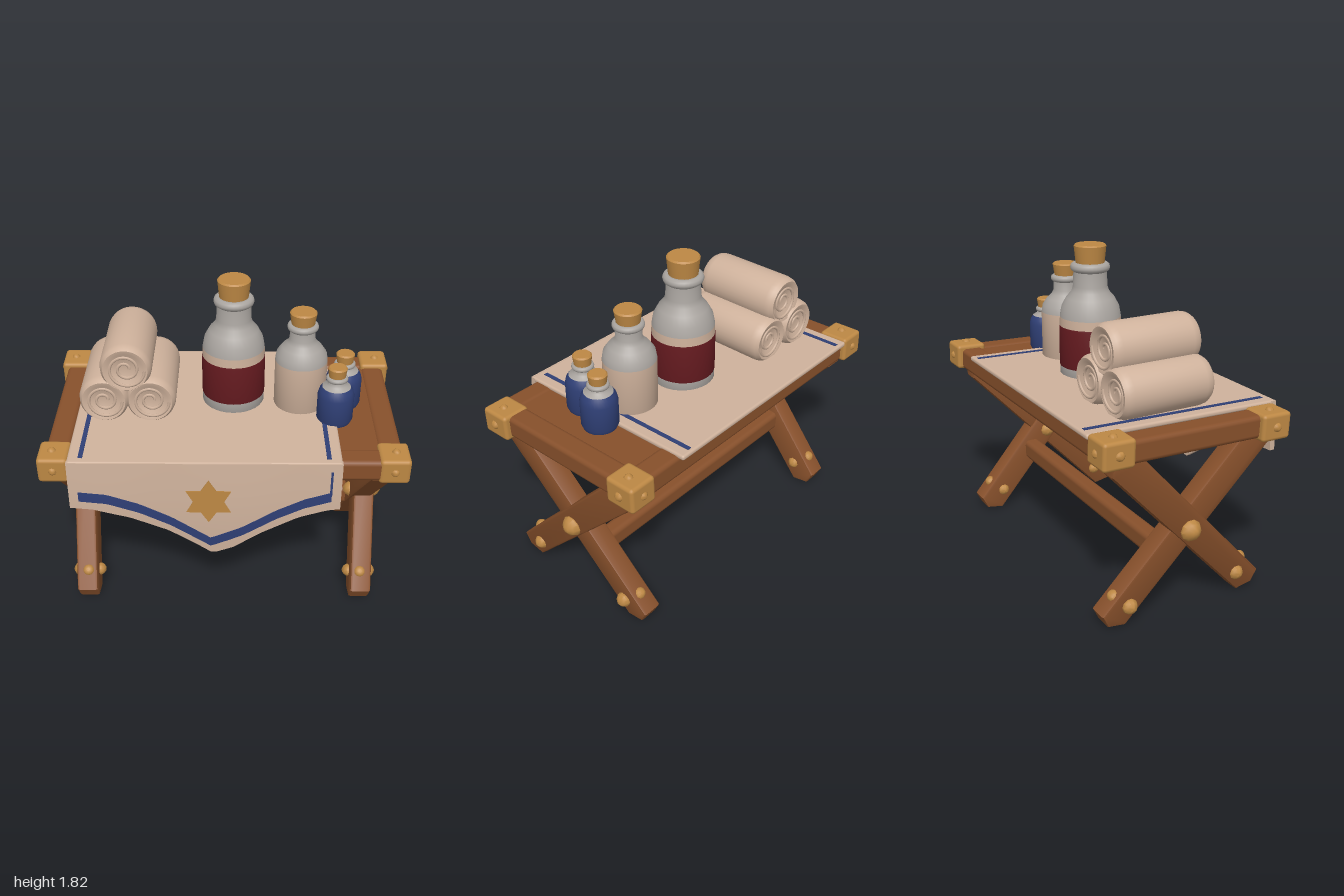
import * as THREE from 'three';
import { toCreasedNormals } from 'three/addons/utils/BufferGeometryUtils.js';
import { RoundedBoxGeometry } from 'three/addons/geometries/RoundedBoxGeometry.js';

const paint = (name, color) => {
  const m = new THREE.MeshStandardMaterial({ color });
  m.name = name;
  return m;
};
const wood = paint('wood', 0x87502b);
const gold = paint('gold', 0xbd8844);
const linen = paint('linen', 0xcfb29c);
const glass = paint('glass', 0xaaa5a0);
const red = paint('red', 0x641a1f);
const blue = paint('blue', 0x2f3f75);

function add(parent, name, geometry, material, x = 0, y = 0, z = 0) {
  const mesh = new THREE.Mesh(geometry, material);
  mesh.name = name;
  mesh.position.set(x, y, z);
  parent.add(mesh);
  return mesh;
}
const block = (w, h, d, r = 0.015) => new RoundedBoxGeometry(w, h, d, 2, r);
const lathe = (points, sides = 32) =>
  toCreasedNormals(new THREE.LatheGeometry(points.map(p => new THREE.Vector2(...p)), sides), 0.7);

// Domed nail head facing along a direction
function stud(parent, name, x, y, z, dir, r) {
  const g = lathe([[r, -0.02], [r, r * 0.3], [r * 0.75, r * 0.7], [r * 0.3, r], [0, r * 1.05]], 10);
  const m = add(parent, name, g, gold, x, y, z);
  m.quaternion.setFromUnitVectors(new THREE.Vector3(0, 1, 0), new THREE.Vector3(...dir).normalize());
}

// Bottle made of stacked coloured bands, a lip ring and a cork
function bottle(parent, name, x, z, bands, ring, cork) {
  const g = new THREE.Group();
  g.name = name;
  g.position.set(x, 0, z);
  parent.add(g);
  bands.forEach(([label, material, points]) => add(g, label, lathe(points), material));
  const [ry, rr, rt] = ring;
  add(g, 'lip', new THREE.TorusGeometry(rr, rt, 10, 32).rotateX(Math.PI / 2), glass, 0, ry, 0);
  const [y0, y1, r0, r1] = cork;
  add(g, 'cork', lathe([[0, y0], [r0, y0], [r1, y1 - 0.008], [r1 - 0.008, y1], [0, y1]], 24), gold);
}

// Leg profile in the side plane, extruded and leaning outward as it rises
function leg(parent, side, dir) {
  const pts = [[0.48, 0.09], [0.45, 0.03], [0.36, 0.015], [-0.47, 0.9], [-0.47, 0.96], [-0.32, 0.96]];
  const shape = new THREE.Shape(pts.map(([z, y]) => new THREE.Vector2(z * dir, y)));
  const t = 0.09, b = 0.015;
  const g = new THREE.ExtrudeGeometry(shape,
    { depth: t, bevelSize: b, bevelThickness: b, bevelSegments: 2, bevelOffset: -0.004 });
  g.translate(0, 0, -t / 2).rotateY(-Math.PI / 2);
  const p = g.attributes.position;
  for (let i = 0; i < p.count; i++) {
    p.setX(i, p.getX(i) + side * (0.785 + 0.075 * p.getY(i) + dir * 0.006));
  }
  add(parent, dir > 0 ? 'legFrontFoot' : 'legBackFoot', toCreasedNormals(g, 0.6), wood);
  const x = 0.785 + 0.01;
  stud(parent, 'footStudOuter', side * (x + 0.055), 0.12, dir * 0.34, [side, 0, 0], 0.042);
  stud(parent, 'footStudInner', side * (x - 0.055), 0.12, dir * 0.34, [-side, 0, 0], 0.036);
  stud(parent, 'footStudFace', side * x, 0.17, dir * 0.405, [0, 0.7, dir * 0.7], 0.033);
}

// Hanging cloth: a thin box remapped between an upper and a lower edge curve
const ripple = (x, y) => 0.56 + 0.006 * Math.sin(x * 9 + 1) * (1.07 - y) + 0.012 * Math.sin((1.07 - y) * 5);
function hanging(x0, x1, top, bottom, thick, offset) {
  const g = new THREE.BoxGeometry(1, 1, 1, 48, 10, 1);
  const p = g.attributes.position;
  for (let i = 0; i < p.count; i++) {
    const x = THREE.MathUtils.lerp(x0, x1, p.getX(i) + 0.5);
    const y = THREE.MathUtils.lerp(bottom(x), top(x), p.getY(i) + 0.5);
    p.setXYZ(i, x, y, ripple(x, y) + offset + p.getZ(i) * thick);
  }
  g.computeVertexNormals();
  return g;
}
const edge = points => x => {
  let i = 0;
  while (i < points.length - 2 && x > points[i + 1][0]) i++;
  const [a, b] = [points[i], points[i + 1]];
  return a[1] + (b[1] - a[1]) * (x - a[0]) / (b[0] - a[0]);
};

// Rolled towel with dished, spiralled ends
function towel(parent, x, y, r, len, z) {
  const g = new THREE.Group();
  g.name = 'rolledTowel';
  g.position.set(x, y, z);
  parent.add(g);
  const h = len / 2;
  const end = [[r, h - 0.05], [r * 0.96, h - 0.02], [r * 0.86, h], [r * 0.7, h - 0.005], [r * 0.5, h - 0.02], [0, h - 0.025]];
  const profile = [...end.map(([a, b]) => [a, -b]).reverse(), ...end];
  add(g, 'towelRoll', lathe(profile).rotateX(Math.PI / 2), linen);
  for (const s of [1, -1]) {
    const pts = [];
    for (let i = 0; i <= 40; i++) {
      const k = i / 40, a = k * Math.PI * 4, q = r * (0.15 + 0.6 * k);
      pts.push(new THREE.Vector3(Math.cos(a) * q, Math.sin(a) * q, s * (h - 0.024 + 0.02 * k * k)));
    }
    add(g, 'towelSpiral', new THREE.TubeGeometry(new THREE.CatmullRomCurve3(pts), 80, 0.009, 6), linen);
  }
}

export function createModel() {
  const model = new THREE.Group();
  model.name = 'campTable';

  // Table top, tipped very slightly toward the front
  const top = new THREE.Group();
  top.name = 'tableTop';
  top.position.y = 1.01;
  top.rotation.x = 0.03;
  model.add(top);
  for (const s of [1, -1]) {
    add(top, s > 0 ? 'frontRail' : 'backRail', block(1.8, 0.125, 0.13, 0.025), wood, 0, 0, s * 0.475);
    add(top, 'sideRail', block(0.13, 0.125, 0.95, 0.025), wood, s * 0.885, 0, 0);
    for (const [z, y] of [[0.455, -0.002], [-0.48, 0.012]]) {
      add(top, 'cornerCap', block(0.165, 0.148, 0.18, 0.02), gold, s * 0.9, y, z);
      stud(top, 'capStudSide', s * 0.972, y, z, [s, 0, 0], 0.027);
      stud(top, 'capStudTop', s * 0.91, y + 0.066, z, [0, 1, 0], 0.024);
      stud(top, 'capStudEnd', s * 0.9, y, z + Math.sign(z) * 0.08, [0, 0, Math.sign(z)], 0.024);
    }
  }
  add(top, 'endPlank', block(0.32, 0.1, 0.92), wood, 0.74, 0.003, 0);
  add(top, 'clothPanel', block(1.43, 0.12, 0.84), linen, -0.1, -0.01, 0);
  add(top, 'tableCloth', block(1.44, 0.03, 1.14, 0.013), linen, -0.1, 0.063, 0);
  for (const x of [-0.75, 0.55]) {
    add(top, 'clothStripe', new THREE.BoxGeometry(0.024, 0.006, 1.08), blue, x, 0.078, -0.01);
  }

  // Underside trim
  for (const z of [-0.375, 0.375]) {
    add(top, 'underStripe', new THREE.BoxGeometry(1.36, 0.006, 0.04), blue, -0.1, -0.071, z);
  }
  add(top, 'underStripeEnd', new THREE.BoxGeometry(0.04, 0.006, 0.75), blue, -0.76, -0.071, 0);
  add(top, 'underPatch', new THREE.BoxGeometry(0.8, 0.006, 0.09), gold, -0.15, -0.071, -0.1);

  // Front drape with its border and emblem
  const hem = edge([[-0.82, 0.785], [-0.7, 0.775], [-0.5, 0.72], [-0.3, 0.63], [-0.15, 0.53], [-0.06, 0.465],
    [0.05, 0.51], [0.2, 0.615], [0.4, 0.725], [0.55, 0.775], [0.62, 0.785]]);
  const border = edge([[-0.77, 0.83], [-0.62, 0.815], [-0.45, 0.755], [-0.28, 0.665], [-0.07, 0.52],
    [0.1, 0.6], [0.28, 0.715], [0.43, 0.79], [0.57, 0.835]]);
  add(model, 'drape', hanging(-0.82, 0.62, () => 1.068, hem, 0.03, 0), linen);
  add(model, 'drapeBorder', hanging(-0.77, 0.57, x => border(x) + 0.058, border, 0.008, 0.014), blue);
  add(model, 'drapeSideLine', hanging(0.56, 0.572, () => 1.02, () => 0.87, 0.006, 0.014), blue);
  const star = new THREE.Shape();
  for (let i = 0; i < 12; i++) {
    const r = i % 2 ? 0.083 : 0.138, a = i * Math.PI / 6 + Math.PI / 2;
    star[i ? 'lineTo' : 'moveTo'](Math.cos(a) * r, Math.sin(a) * r);
  }
  star.closePath();
  add(model, 'drapeStar', new THREE.ExtrudeGeometry(star, { depth: 0.009, bevelEnabled: false }),
    gold, -0.08, 0.83, 0.58);

  // Crossed legs and stretcher
  for (const s of [1, -1]) {
    const pair = new THREE.Group();
    pair.name = s > 0 ? 'leftLegs' : 'rightLegs';
    model.add(pair);
    leg(pair, s, 1);
    leg(pair, s, -1);
    stud(pair, 'crossBoltOuter', s * 0.88, 0.485, 0, [s, 0, 0], 0.06);
    stud(pair, 'crossBoltInner', s * 0.765, 0.47, 0, [-s, 0, 0], 0.045);
  }
  add(model, 'stretcher', block(1.56, 0.12, 0.1, 0.03), wood, 0, 0.362, -0.115);

  // Towels stacked in a pyramid
  towel(model, -0.655, 1.21, 0.137, 0.53, -0.065);
  towel(model, -0.4, 1.21, 0.137, 0.53, -0.065);
  towel(model, -0.528, 1.402, 0.14, 0.52, -0.06);

  // Bottles
  bottle(model, 'largeBottle', 0.05, -0.06, [
    ['base', glass, [[0, 1.07], [0.165, 1.07], [0.174, 1.09], [0.174, 1.14]]],
    ['liquid', red, [[0.174, 1.14], [0.176, 1.15], [0.176, 1.36], [0.174, 1.37]]],
    ['upperBand', linen, [[0.174, 1.37], [0.172, 1.42]]],
    ['shoulder', glass, [[0.172, 1.42], [0.162, 1.475], [0.135, 1.525], [0.105, 1.56], [0.096, 1.59], [0.092, 1.7], [0.07, 1.71]]],
  ], [1.695, 0.085, 0.026], [1.66, 1.82, 0.074, 0.09]);
  bottle(model, 'mediumBottle', 0.425, -0.02, [
    ['body', linen, [[0, 1.07], [0.135, 1.07], [0.145, 1.09], [0.145, 1.36]]],
    ['shoulder', glass, [[0.145, 1.36], [0.138, 1.4], [0.11, 1.44], [0.082, 1.465], [0.071, 1.49], [0.069, 1.56], [0.05, 1.57]]],
  ], [1.56, 0.066, 0.02], [1.54, 1.65, 0.058, 0.074]);
  for (const [x, z, h] of [[0.61, 0.14, 0], [0.67, -0.035, -0.01]]) {
    bottle(model, 'smallBottle', x, z, [
      ['body', blue, [[0, 1.065], [0.09, 1.065], [0.1, 1.09], [0.1, 1.23], [0.092, 1.26], [0.078, 1.28]]],
      ['neck', glass, [[0.078, 1.28], [0.055, 1.295], [0.047, 1.31], [0.045, 1.335], [0.03, 1.34]]],
    ], [1.33 + h, 0.045, 0.015], [1.31, 1.4 + h, 0.042, 0.052]);
  }
  return model;
}
